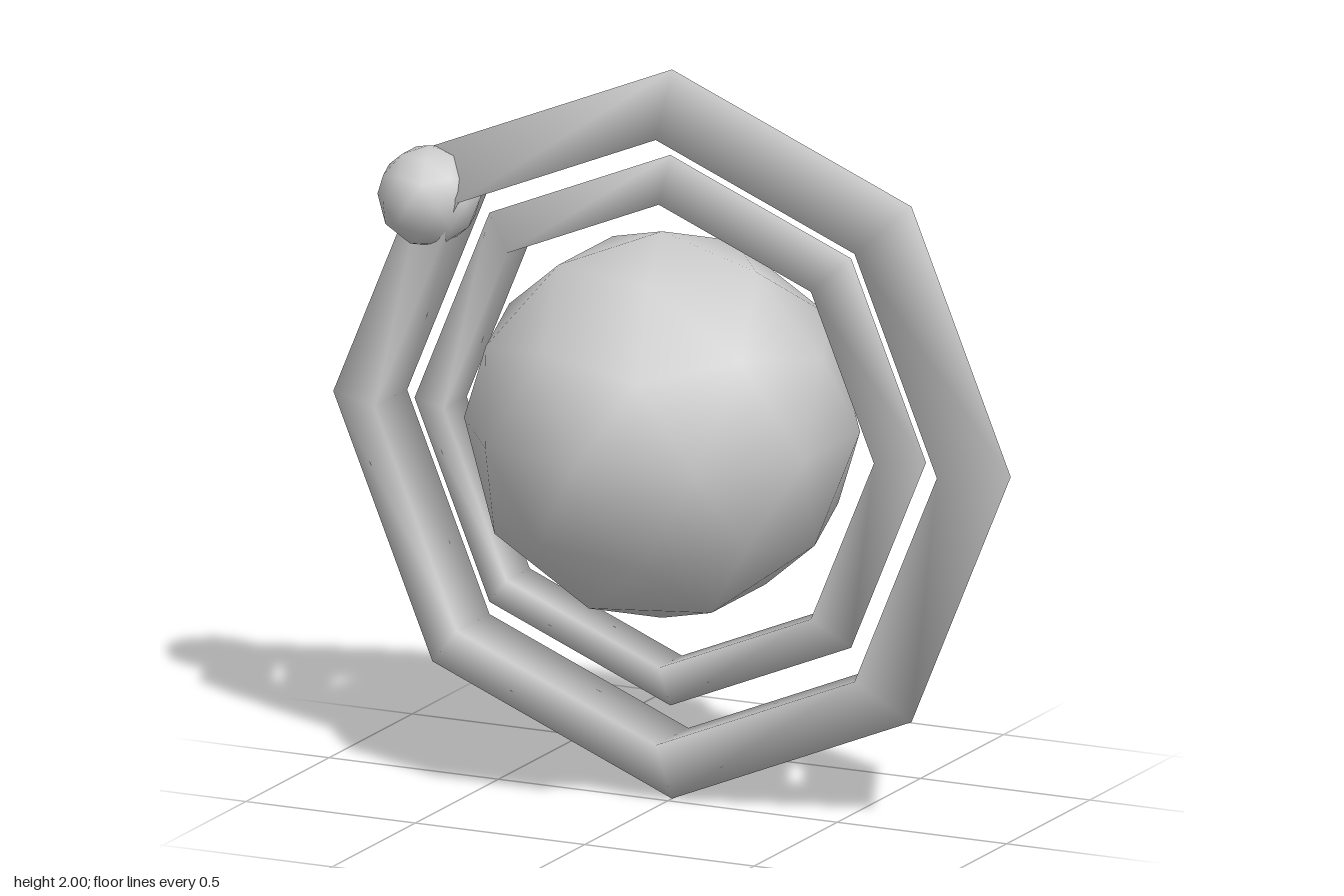
import * as THREE from 'three';

const grey = new THREE.MeshStandardMaterial({ color: 0xcccccc });

function add(group, name, geometry, x, y, z) {
  const mesh = new THREE.Mesh(geometry, grey);
  mesh.name = name;
  mesh.position.set(x, y, z);
  group.add(mesh);
}

// Smooth 80-face ball, turned so that one icosahedron corner points straight up
function ball(radius) {
  return new THREE.IcosahedronGeometry(radius, 1).rotateZ(-Math.atan(2 / (1 + Math.sqrt(5))));
}

// Octagonal ring with a triangular section, its sharp edge pointing outwards
function ring(outer, inner) {
  const tube = (outer - inner) / 1.5;
  return new THREE.TorusGeometry(outer - tube, tube, 3, 8);
}

export function createModel() {
  const model = new THREE.Group();
  model.name = 'ringedPlanet';

  add(model, 'planet', ball(0.53), -0.017, 1.03, 0);
  add(model, 'outerRing', ring(1, 0.83), 0, 1, -0.025);
  add(model, 'innerRing', ring(0.755, 0.635), -0.005, 1.01, -0.025);
  add(model, 'moon', ball(0.138), -0.705, 1.577, 0);

  return model;
}
